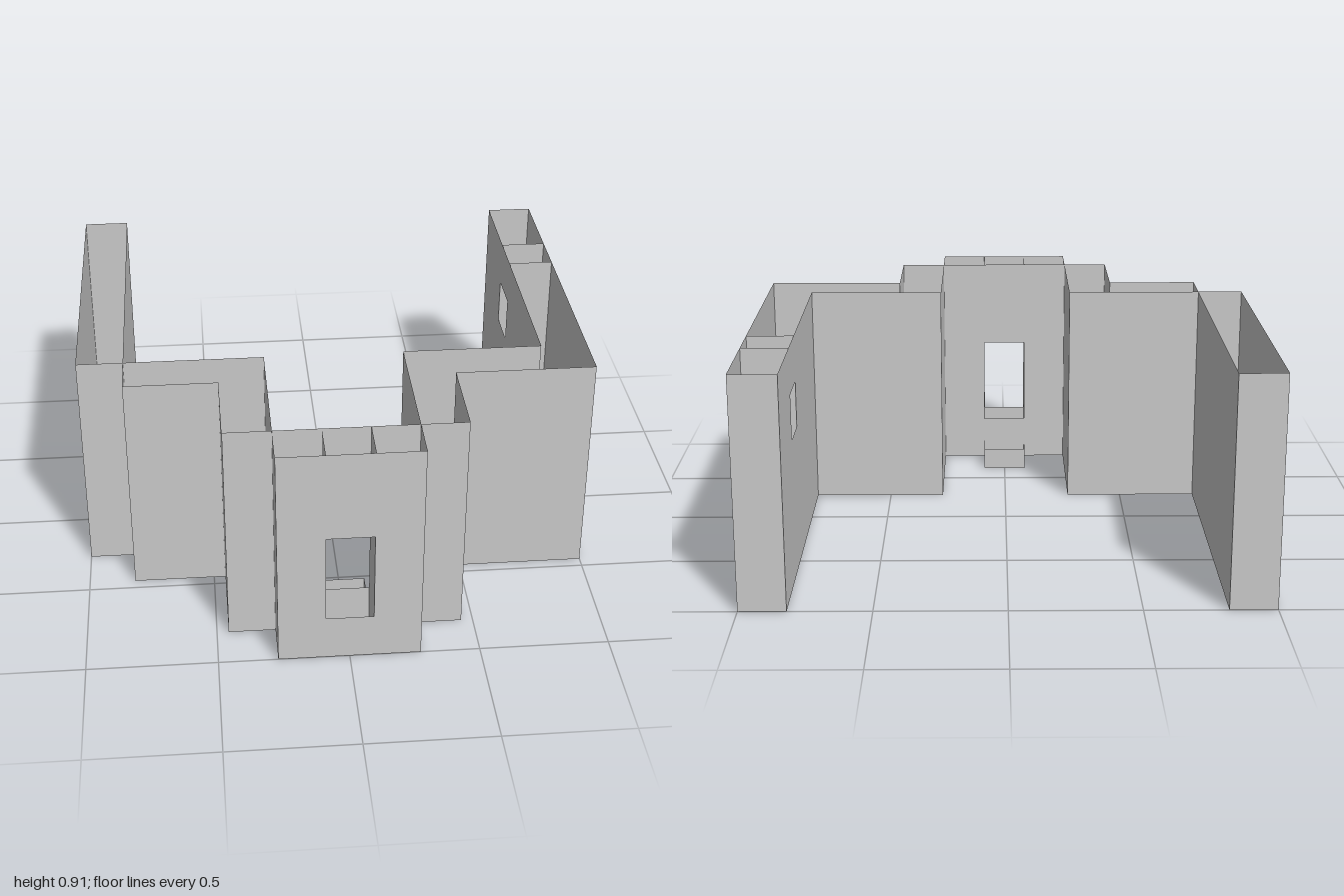
import * as THREE from 'three';

const U = 2 / 11; // wall thickness, the module of the whole plan

const material = new THREE.MeshStandardMaterial({ color: 0xcccccc, flatShading: true, side: THREE.DoubleSide });

// Hollow wall block: footprint of [x, z] corners raised from y0 to y1, with a floor and sides but an open top
function hollowBlock(name, corners, y0, y1) {
  const shape = new THREE.Shape(corners.map(([x, z]) => new THREE.Vector2(x, -z)));
  const solid = new THREE.ExtrudeGeometry(shape, { depth: y1 - y0, bevelEnabled: false })
    .rotateX(-Math.PI / 2).translate(0, y0, 0).scale(U, U, U);
  const pos = solid.attributes.position, nor = solid.attributes.normal, kept = [];
  for (let i = 0; i < pos.count; i += 3) {
    if (nor.getY(i) > 0.5) continue; // leave the top open
    for (let k = i; k < i + 3; k++) kept.push(pos.getX(k), pos.getY(k), pos.getZ(k));
  }
  const geometry = new THREE.BufferGeometry();
  geometry.setAttribute('position', new THREE.Float32BufferAttribute(kept, 3));
  geometry.computeVertexNormals();
  const mesh = new THREE.Mesh(geometry, material);
  mesh.name = name;
  return mesh;
}

const rect = (x0, x1, z0, z1) => [[x0, z0], [x1, z0], [x1, z1], [x0, z1]];

export function createModel() {
  const model = new THREE.Group();
  model.name = 'wallRuin';
  const H = 5;
  const add = (name, corners, y0 = 0, y1 = H) => model.add(hollowBlock(name, corners, y0, y1));

  // Right side: straight wall and stepped L-shaped wall
  add('rightSideWall', rect(-5.5, -4.5, -5.5, 1.5));
  add('rightCornerWall', [[-4.5, 1.5], [-1.5, 1.5], [-1.5, 4.5], [-2.5, 4.5], [-2.5, 2.5], [-4.5, 2.5]]);

  // Front wall around a tall window, with a low step behind
  add('frontWallRight', rect(-1.5, -0.5, 4.5, 5.5));
  add('frontWallLeft', rect(0.5, 1.5, 4.5, 5.5));
  add('frontWindowSill', rect(-0.5, 0.5, 4.5, 5.5), 0, 1);
  add('frontWindowLintel', rect(-0.5, 0.5, 4.5, 5.5), 3, H);
  add('step', rect(-0.5, 0.5, 3.5, 4.5), 0, 0.5);

  // Left side: one continuous wall with corners, then a small square window near the back
  add('leftCornerWall', [[1.5, 1.5], [4.5, 1.5], [4.5, -2.5], [5.5, -2.5], [5.5, 2.5], [2.5, 2.5], [2.5, 4.5], [1.5, 4.5]]);
  add('leftWindowSill', rect(4.5, 5.5, -3.5, -2.5), 0, 3);
  add('leftWindowLintel', rect(4.5, 5.5, -3.5, -2.5), 4, H);
  add('leftWallEnd', rect(4.5, 5.5, -5.5, -3.5));

  return model;
}
